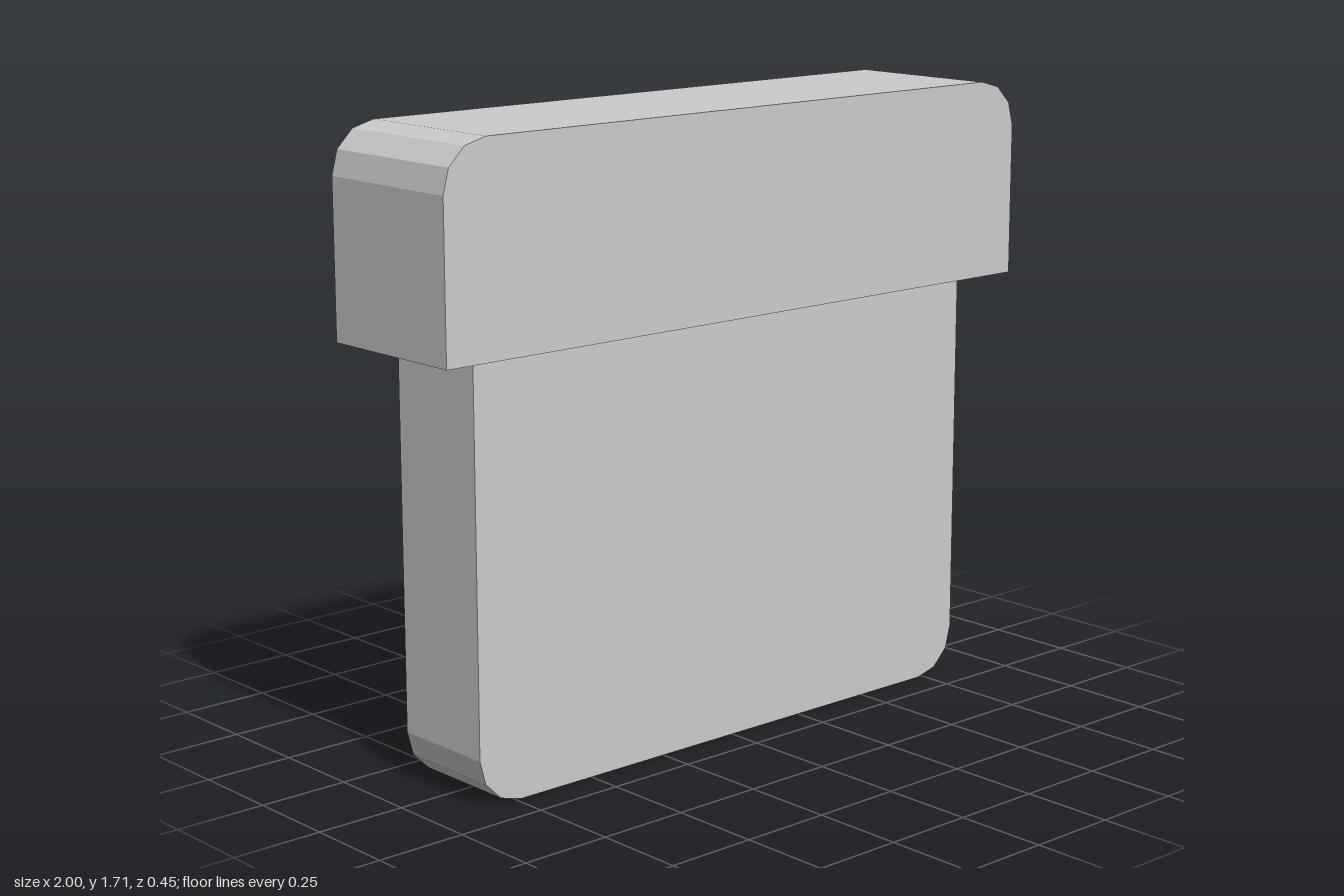
import * as THREE from 'three';

const RADIUS = 0.13;
const CORNER_STEPS = 3;

// Slab outline with square corners at y = flatY and faceted round corners at y = roundY
function slab(name, halfWidth, flatY, roundY, depth, material) {
  const dir = Math.sign(roundY - flatY);
  const right = [new THREE.Vector2(halfWidth, flatY)];
  for (let i = 0; i <= CORNER_STEPS; i++) {
    const a = (i / CORNER_STEPS) * Math.PI / 2;
    right.push(new THREE.Vector2(
      halfWidth - RADIUS + RADIUS * Math.cos(a),
      roundY + dir * RADIUS * (Math.sin(a) - 1)
    ));
  }
  const left = right.map(p => new THREE.Vector2(-p.x, p.y)).reverse();
  const geometry = new THREE.ExtrudeGeometry(new THREE.Shape([...right, ...left]), {
    depth, bevelEnabled: false
  });
  geometry.translate(0, 0, -depth / 2);
  const mesh = new THREE.Mesh(geometry, material);
  mesh.name = name;
  return mesh;
}

export function createModel() {
  const material = new THREE.MeshStandardMaterial({ color: 0xcccccc, flatShading: true });
  const group = new THREE.Group();
  group.name = 'cappedBlock';
  // Thin lower body, rounded at the bottom, and wider cap, rounded at the top
  group.add(slab('body', 0.865, 1.165, 0, 0.305, material));
  group.add(slab('cap', 1, 1.165, 1.713, 0.45, material));
  return group;
}
